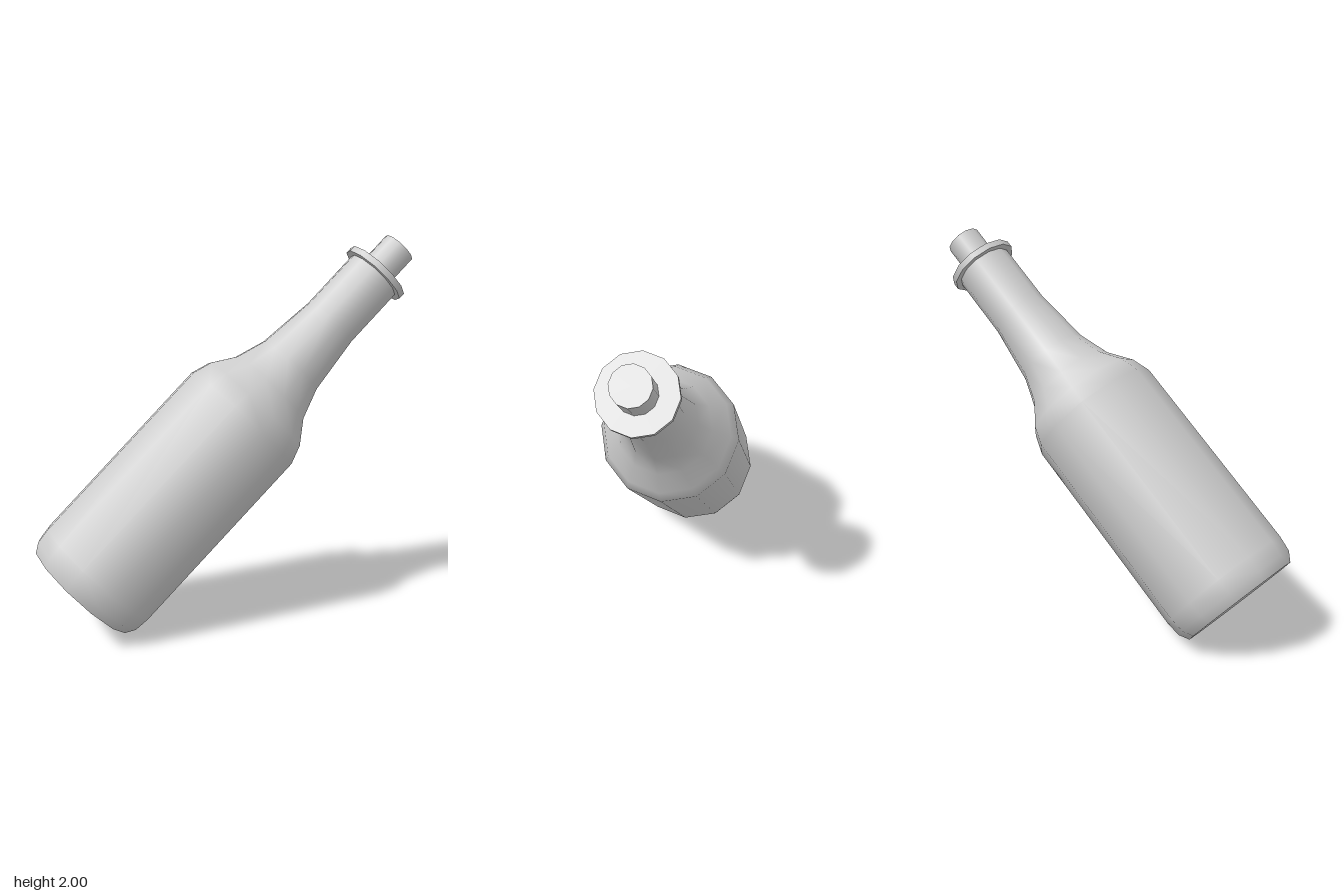
import * as THREE from 'three';

const SIDES = 12;

export function createModel() {
  const model = new THREE.Group();
  model.name = 'bottle';
  const material = new THREE.MeshStandardMaterial({ color: 0xcccccc });

  const add = (name, geometry, y = 0) => {
    const mesh = new THREE.Mesh(geometry, material);
    mesh.name = name;
    mesh.position.y = y;
    model.add(mesh);
    return mesh;
  };
  const disc = (name, radius, bottom, top) =>
    add(name, new THREE.CylinderGeometry(radius, radius, top - bottom, SIDES), (bottom + top) / 2);

  // Body, shoulder and neck: [radius, height along the axis]
  const profile = [
    [0.315, 0], [0.345, 0.05], [0.354, 0.13], [0.354, 1.21], [0.322, 1.307],
    [0.24, 1.424], [0.187, 1.583], [0.152, 1.887], [0.152, 2.23],
  ].map(([r, y]) => new THREE.Vector2(r, y));
  add('body', new THREE.LatheGeometry(profile, SIDES));

  // Flat underside
  add('base', new THREE.CircleGeometry(0.315, SIDES).rotateX(Math.PI / 2));

  // Collar around the mouth, and the stopper
  disc('lip', 0.184, 2.218, 2.252);
  disc('cork', 0.092, 2.24, 2.418);

  // Lean the whole bottle towards +x, resting on the edge of its base
  model.rotation.z = -Math.PI / 4;
  model.position.set(-0.777, 0.224, 0);

  const group = new THREE.Group();
  group.name = 'tiltedBottle';
  group.add(model);
  return group;
}
